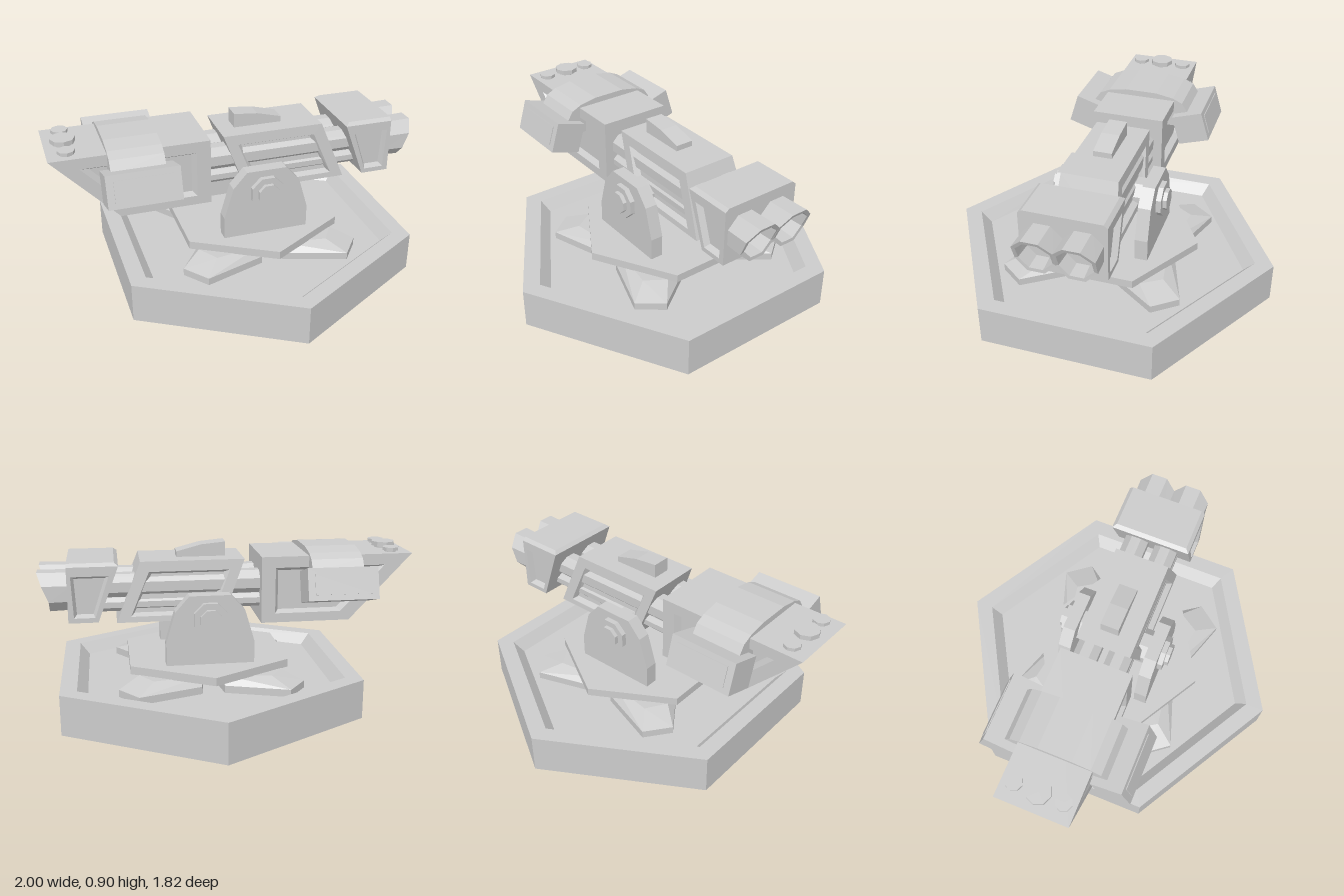
import * as THREE from 'three';

const grey = new THREE.MeshStandardMaterial({ color: 0xcccccc, flatShading: true });
const CX = 0.11; // x of the turning axis

// Joins rings of 3D points (same count, anticlockwise about the axis) and caps both ends
function loft(rings) {
  const pos = [];
  const tri = (a, b, c) => pos.push(...a, ...b, ...c);
  const n = rings[0].length;
  for (let r = 0; r < rings.length - 1; r++) {
    const A = rings[r], B = rings[r + 1];
    for (let i = 0; i < n; i++) {
      const j = (i + 1) % n;
      tri(A[i], A[j], B[j]);
      tri(A[i], B[j], B[i]);
    }
  }
  const first = rings[0], last = rings[rings.length - 1];
  for (let i = 1; i < n - 1; i++) {
    tri(first[0], first[i + 1], first[i]);
    tri(last[0], last[i], last[i + 1]);
  }
  const g = new THREE.BufferGeometry();
  g.setAttribute('position', new THREE.Float32BufferAttribute(pos, 3));
  g.computeVertexNormals();
  return g;
}

// Four-cornered side profile with a bevelled panel sunk into both sides; width(y) is the half width
function panelBlock(outer, hole, inner, width, depth) {
  const ring = (pts, s, d) => pts.map(([x, y]) => [x, y, s * (width(y) - d)]);
  return loft([ring(inner, -1, depth), ring(hole, -1, 0), ring(outer, -1, 0),
    ring(outer, 1, 0), ring(hole, 1, 0), ring(inner, 1, depth)]);
}

function extrude(pts, depth) {
  const shape = new THREE.Shape(pts.map(([x, y]) => new THREE.Vector2(x, y)));
  return new THREE.ExtrudeGeometry(shape, { depth, bevelEnabled: false });
}

// Eight-sided rods along x and z
const rodX = (r, x0, x1) => new THREE.CylinderGeometry(r, r, x1 - x0, 8)
  .rotateY(Math.PI / 8).rotateZ(Math.PI / 2).translate((x0 + x1) / 2, 0, 0);
const rodZ = (r, z0, z1) => new THREE.CylinderGeometry(r, r, z1 - z0, 8)
  .rotateY(Math.PI / 8).rotateX(Math.PI / 2).translate(0, 0, (z0 + z1) / 2);

// Hexagon ring with a corner on the z axis
const hexRing = (r, y) => Array.from({ length: 6 }, (_, i) => {
  const a = Math.PI / 6 + i * Math.PI / 3;
  return [r * Math.cos(a), y, -r * Math.sin(a)];
});

export function createModel() {
  const model = new THREE.Group();
  const add = (name, geometry, x = 0, y = 0, z = 0, parent = model) => {
    const m = new THREE.Mesh(geometry, grey);
    m.name = name;
    m.position.set(x, y, z);
    parent.add(m);
    return m;
  };

  // Hexagonal base with a sunken floor
  add('base', loft([hexRing(0.91, 0), hexRing(0.91, 0.215), hexRing(0.81, 0.215), hexRing(0.75, 0.155)]), CX);

  // Four bevelled feet
  const flat = (pts, y) => pts.map(([x, z]) => [x, y, z]);
  const footEdge = [[0, 0], [0.32, -0.12], [0.49, -0.36], [0.39, -0.49], [0.06, -0.38]];
  const footTop = [[0, 0], [0.28, -0.12], [0.38, -0.27], [0.31, -0.38], [0.06, -0.34]];
  const foot = loft([flat(footEdge, 0.15), flat(footEdge, 0.195), flat(footTop, 0.238)]);
  for (const sx of [-1, 1]) for (const sz of [-1, 1]) {
    add('foot', foot, CX).scale.set(sx, 1, sz);
  }

  // Turntable
  add('turntable', loft([hexRing(0.49, 0.236), hexRing(0.49, 0.28)]), CX);

  // Brackets with pivot bolts
  const bracket = extrude([[-0.235, 0.27], [0.235, 0.27], [0.235, 0.4], [0.185, 0.57],
    [0.11, 0.655], [-0.11, 0.655], [-0.185, 0.57], [-0.235, 0.4]], 0.07);
  for (const s of [-1, 1]) {
    const side = new THREE.Group();
    side.name = s > 0 ? 'frontBracket' : 'backBracket';
    side.position.x = CX;
    side.scale.z = s;
    add('bracketPlate', bracket, 0, 0, 0.2, side);
    add('pivotCollar', rodZ(0.095, 0.14, 0.298), 0, 0.53, 0, side);
    add('pivotBolt', rodZ(0.06, 0.29, 0.32), 0, 0.53, 0, side);
    model.add(side);
  }

  // Middle housing, slanted and widening towards the bottom
  add('middleHousing', panelBlock(
    [[0.03, 0.5], [0.595, 0.5], [0.465, 0.82], [-0.09, 0.82]],
    [[0.08, 0.53], [0.52, 0.53], [0.42, 0.765], [-0.01, 0.765]],
    [[0.1, 0.545], [0.5, 0.545], [0.405, 0.75], [0.015, 0.75]],
    y => 0.15 + (0.82 - y) * 0.08, 0.03));
  add('sightFin', extrude([[0, 0.81], [0.265, 0.81], [0.265, 0.85], [0.13, 0.885], [0, 0.897]], 0.1), 0, 0, -0.05);

  // Front housing
  add('frontHousing', panelBlock(
    [[0.69, 0.52], [0.845, 0.52], [0.845, 0.815], [0.58, 0.815]],
    [[0.705, 0.545], [0.815, 0.545], [0.825, 0.765], [0.63, 0.765]],
    [[0.715, 0.56], [0.8, 0.56], [0.81, 0.75], [0.65, 0.75]],
    () => 0.22, 0.03));
  add('frontHousingLid', loft([
    [[0.58, 0.815, 0.22], [0.845, 0.815, 0.22], [0.845, 0.815, -0.22], [0.58, 0.815, -0.22]],
    [[0.6, 0.832, 0.2], [0.845, 0.832, 0.2], [0.845, 0.832, -0.2], [0.6, 0.832, -0.2]]]));

  // Twin barrels, lower rods and hollow muzzles with a raked mouth
  const muzzle = new THREE.LatheGeometry([[0.108, 0], [0.112, 0.18], [0.092, 0.18], [0.085, 0.03], [0, 0.03]]
    .map(([r, h]) => new THREE.Vector2(r, h)), 8).rotateY(Math.PI / 8).rotateZ(-Math.PI / 2);
  const p = muzzle.attributes.position;
  for (let i = 0; i < p.count; i++) {
    if (p.getX(i) > 0.1) p.setX(i, p.getX(i) - 0.06 * Math.min(1, (0.104 - p.getY(i)) / 0.14));
  }
  for (const s of [-1, 1]) {
    add('barrel', rodX(0.07, -0.2, 0.85), 0, 0.685, s * 0.085);
    add('lowerRod', rodX(0.04, -0.2, 0.75), 0, 0.59, s * 0.11);
    add('muzzle', muzzle, 0.82, 0.673, s * 0.1);
  }

  // Rear housing with a raked tail
  add('rearHousing', panelBlock(
    [[-0.66, 0.475], [-0.175, 0.475], [-0.175, 0.835], [-1, 0.835]],
    [[-0.61, 0.525], [-0.25, 0.525], [-0.25, 0.775], [-0.85, 0.775]],
    [[-0.595, 0.54], [-0.27, 0.54], [-0.27, 0.755], [-0.8, 0.755]],
    () => 0.198, 0.035));

  // Saddle bent over the rear housing
  const half = [[0.09, 0.868], [0.19, 0.85], [0.245, 0.825], [0.285, 0.765], [0.27, 0.68]];
  const saddleProfile = [...half.map(([z, y]) => [-z, y]), ...half.slice().reverse()];
  // profile runs left, bottom, right, top
  saddleProfile.splice(0, 5, ...half.map(([z, y]) => [-z, y]).reverse());
  const saddle = [...half.slice().reverse(), ...half.map(([z, y]) => [-z, y])];
  add('saddle', extrude(saddle, 0.28).rotateY(Math.PI / 2), -0.71);

  // Tilted side pods, each with a raised plate
  for (const s of [-1, 1]) {
    const pod = new THREE.Group();
    pod.name = s > 0 ? 'frontPod' : 'backPod';
    pod.scale.z = s;
    const tilted = new THREE.Group();
    tilted.name = 'podBody';
    tilted.position.set(-0.567, 0.7, 0.31);
    tilted.rotation.x = -0.3;
    add('podBox', new THREE.BoxGeometry(0.375, 0.17, 0.175), 0, 0, 0, tilted);
    add('podPlate', new THREE.BoxGeometry(0.3, 0.11, 0.01), 0, 0, 0.087, tilted);
    pod.add(tilted);
    model.add(pod);
  }

  // Knobs on the tail
  for (const [z, r, h] of [[0, 0.065, 0.035], [0.13, 0.045, 0.025], [-0.13, 0.045, 0.025]]) {
    add('knobStem', new THREE.CylinderGeometry(r * 0.75, r * 0.75, 0.03, 8), -0.9, 0.84, z);
    add('knobCap', new THREE.CylinderGeometry(r, r, h * 0.7, 8), -0.9, 0.835 + h * 0.65, z);
  }
  return model;
}
